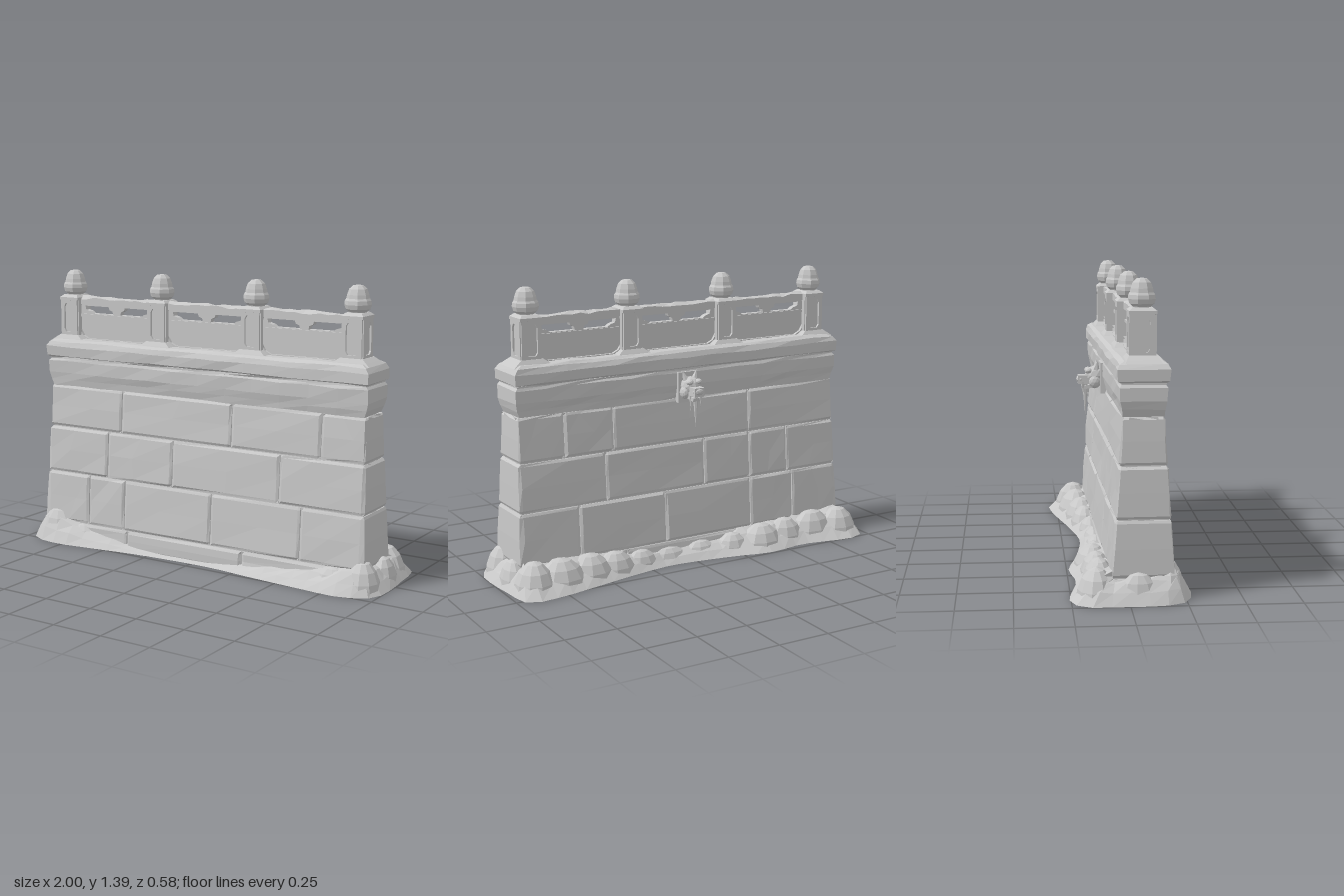
import * as THREE from 'three';

// Double-sided because the wall and drift are hollow underneath
const stone = new THREE.MeshStandardMaterial({ color: 0xc8c8c8, side: THREE.DoubleSide });
stone.name = 'pale stone';

// Repeatable noise in -1..1 from a position
const noise = (x, y, z = 0) => {
  const s = Math.sin(x * 127.1 + y * 311.7 + z * 74.7) * 43758.5453;
  return (s - Math.floor(s)) * 2 - 1;
};
const lerp = THREE.MathUtils.lerp, clamp = THREE.MathUtils.clamp;

function add(parent, name, geo, x = 0, y = 0, z = 0) {
  const flat = geo.index ? geo.toNonIndexed() : geo;
  flat.computeVertexNormals();
  const mesh = new THREE.Mesh(flat, stone);
  mesh.name = name;
  mesh.position.set(x, y, z);
  parent.add(mesh);
  return mesh;
}

function reshape(geo, rule) {
  const p = geo.attributes.position, v = new THREE.Vector3();
  for (let i = 0; i < p.count; i++) {
    rule(v.fromBufferAttribute(p, i));
    p.setXYZ(i, v.x, v.y, v.z);
  }
  return geo;
}

// Joins closed rings (clockwise from above), bottom or outside first
function stitch(rings, capped) {
  const n = rings[0].length, pos = rings.flat().flatMap(p => [p.x, p.y, p.z]), idx = [];
  for (let r = 0; r < rings.length - 1; r++) {
    for (let i = 0; i < n; i++) {
      const a = r * n + i, b = r * n + (i + 1) % n;
      idx.push(a, a + n, b, b, a + n, b + n);
    }
  }
  if (capped) {
    const top = (rings.length - 1) * n;
    for (let i = 0, j = n - 1; j - i > 1; i++, j--) {
      idx.push(top + i, top + j, top + i + 1);
      if (j - i > 2) idx.push(top + i + 1, top + j, top + j - 1);
    }
  }
  const g = new THREE.BufferGeometry();
  g.setAttribute('position', new THREE.Float32BufferAttribute(pos, 3));
  g.setIndex(idx);
  return g;
}

// Rectangular moulding from [y, half width, half depth] levels
function moulding(levels, seg = 1, rough = 0) {
  return stitch(levels.map(([y, hx, hz]) => {
    const ring = [];
    for (const s of [1, -1]) {
      for (let i = 0; i <= seg; i++) {
        const x = s * lerp(-hx, hx, i / seg), z = -s * hz;
        ring.push(new THREE.Vector3(x, y + noise(x, y, z) * rough, z + noise(z, x, y) * rough));
      }
    }
    return ring;
  }), true);
}

// Battered wall outline
const halfX = y => lerp(0.922, 0.887, y / 0.8);
const halfZ = y => lerp(0.145, 0.092, y / 0.8);

// One chamfered wall stone; side is +1 for the front, -1 for the back
function wallBlock(parent, x0, x1, y0, y1, side, first, last) {
  const gap = 0.003, bevel = 0.012;
  const steps = (a, b) => [a, a + bevel, (a + b) / 2, b - bevel, b];
  const xs = steps(x0 + (first ? 0 : gap), x1 - (last ? 0 : gap)), ys = steps(y0 + gap, y1 - gap);
  const geo = reshape(new THREE.BoxGeometry(4, 4, 1, 4, 4, 1), v => {
    const i = Math.round(v.x + 2), j = Math.round(v.y + 2), outer = v.z * side > 0;
    const endX = i === 0 || i === 4, endY = j === 0 || j === 4;
    const y = ys[j], isEnd = (first && i === 0) || (last && i === 4);
    let x = xs[i];
    if (isEnd) x = Math.sign(x) * (halfX(y) - (endY ? 0.008 : 0) + noise(y, 1) * 0.003);
    else if (i === 2) x += noise(x, y, side) * 0.05;
    const d = halfZ(y) - (endX || endY ? 0.006 : 0) + noise(x, y, side) * 0.003;
    v.set(x, y, side * (outer ? d : isEnd ? 0 : halfZ(y) - 0.03));
  });
  add(parent, 'wallBlock', geo);
}

function buildWall(wall) {
  add(wall, 'wallCore', moulding([[0, 0.91, 0.132], [0.82, 0.872, 0.08]]));
  // [bottom, top, front joints, back joints]
  const courses = [
    [0, 0.1, [-0.4, 0.27], [-0.3, 0.35]],
    [0.1, 0.355, [-0.64, -0.42, 0.09, 0.58], [-0.63, -0.37, 0.13, 0.6]],
    [0.355, 0.59, [-0.53, -0.14, 0.46], [-0.6, -0.37, -0.1, 0.45]],
    [0.59, 0.805, [-0.45, 0.19, 0.67], [-0.37, 0.4, 0.66]],
  ];
  for (const [y0, y1, front, back] of courses) {
    for (const [side, joints] of [[1, front], [-1, back]]) {
      const xs = [-0.9, ...joints, 0.9];
      for (let i = 0; i < xs.length - 1; i++)
        wallBlock(wall, xs[i], xs[i + 1], y0, y1, side, i === 0, i === xs.length - 2);
    }
  }
  add(wall, 'cornice', moulding([[0.803, 0.88, 0.088], [0.835, 0.893, 0.094], [0.87, 0.902, 0.101],
    [0.93, 0.902, 0.103], [0.943, 0.892, 0.098], [0.953, 0.892, 0.098]], 12, 0.003));
  add(wall, 'capstone', moulding([[0.948, 0.89, 0.095], [0.958, 0.905, 0.111], [1.005, 0.907, 0.113],
    [1.03, 0.89, 0.103], [1.042, 0.865, 0.085]], 14, 0.003));
}

function polygon(points, Type = THREE.Shape) {
  return new Type(points.map(([x, y]) => new THREE.Vector2(x, y)));
}

// Post with framed panels on four sides, flared foot and bud finial
function buildPost(parent, x) {
  const post = new THREE.Group();
  post.name = 'post';
  post.position.x = x;
  parent.add(post);
  add(post, 'postFoot', moulding([[1.03, 0.1, 0.082], [1.045, 0.08, 0.072], [1.062, 0.056, 0.06]]));
  add(post, 'postCore', moulding([[1.03, 0.046, 0.048], [1.24, 0.046, 0.048]]));
  add(post, 'postTop', moulding([[1.235, 0.046, 0.048], [1.238, 0.055, 0.06], [1.252, 0.055, 0.06], [1.265, 0.04, 0.044]]));
  const frame = polygon([[-0.05, 1.05], [0.05, 1.05], [0.05, 1.24], [-0.05, 1.24]]);
  frame.holes.push(polygon([[-0.02, 1.075], [-0.03, 1.09], [-0.03, 1.205], [-0.02, 1.222],
    [0.02, 1.222], [0.03, 1.205], [0.03, 1.09], [0.02, 1.075]], THREE.Path));
  for (let k = 0; k < 4; k++) {
    const geo = new THREE.ExtrudeGeometry(frame, { depth: 0.012, bevelEnabled: false });
    geo.translate(0, 0, k % 2 ? 0.043 : 0.047).rotateY(k * Math.PI / 2);
    add(post, 'postPanelFrame', geo);
  }
  const profile = [[0.038, 1.25], [0.042, 1.268], [0.056, 1.28], [0.062, 1.3], [0.06, 1.318],
    [0.053, 1.328], [0.05, 1.345], [0.041, 1.37], [0.024, 1.386], [0, 1.39]];
  const bud = new THREE.LatheGeometry(profile.map(p => new THREE.Vector2(...p)), 8);
  add(post, 'finial', bud.rotateY(Math.PI / 8));
}

// Pierced panel and rails between two posts
function buildBay(parent, x) {
  const bay = new THREE.Group();
  bay.name = 'balustradeBay';
  bay.position.x = x;
  parent.add(bay);
  const w = 0.22;
  const panel = polygon([[-w, 1.02], [w, 1.02], [w, 1.225], [-w, 1.225]]);
  for (const s of [1, -1])
    panel.holes.push(polygon([[0.022, 1.172], [0.15, 1.172], [0.165, 1.183], [0.19, 1.19], [0.195, 1.21],
      [0.05, 1.21], [0.045, 1.196], [0.026, 1.188]].map(([a, b]) => [a * s, b]), THREE.Path));
  add(bay, 'piercedPanel', new THREE.ExtrudeGeometry(panel, { depth: 0.03, bevelEnabled: false }), 0, 0, -0.015);
  add(bay, 'middleRail', new THREE.BoxGeometry(2 * w, 0.014, 0.046), 0, 1.162, 0);
  const rail = reshape(new THREE.BoxGeometry(2 * w, 0.036, 0.06, 10, 2, 2), v => {
    if (v.y > 0.01) v.y += noise(v.x + x, 1, v.z) * 0.006 - Math.abs(v.z) * 0.3 + 0.004;
  });
  add(bay, 'topRail', rail, 0, 1.236, 0);
  // Lower border with slanted corners
  const border = polygon([[-w, 1.02], [w, 1.02], [w, 1.09], [0.2, 1.06], [0.17, 1.045],
    [-0.17, 1.045], [-0.2, 1.06], [-w, 1.09]]);
  add(bay, 'lowerBorder', new THREE.ExtrudeGeometry(border, { depth: 0.06, bevelEnabled: false }), 0, 0, -0.03);
}

// Beast-head water spout with icicles on the back
function buildSpout(parent) {
  const spout = new THREE.Group();
  spout.name = 'spout';
  spout.position.set(-0.005, 0, -0.1);
  parent.add(spout);
  add(spout, 'spoutPlate', new THREE.BoxGeometry(0.11, 0.15, 0.03), 0, 0.86, 0);
  const ball = (name, r, sx, sy, sz, x, y, z) =>
    add(spout, name, new THREE.IcosahedronGeometry(r, 1).scale(sx, sy, sz), x, y, z);
  ball('spoutHead', 0.048, 1, 1, 1.1, 0, 0.868, -0.035);
  add(spout, 'spoutSnout', new THREE.BoxGeometry(0.056, 0.042, 0.085), 0, 0.85, -0.078);
  ball('spoutNose', 0.026, 1.2, 0.8, 0.8, 0, 0.852, -0.108);
  add(spout, 'spoutJaw', new THREE.BoxGeometry(0.044, 0.018, 0.065), 0, 0.815, -0.065).rotation.x = -0.15;
  for (const s of [1, -1]) {
    const ear = add(spout, 'spoutEar', new THREE.ConeGeometry(0.02, 0.06, 5), s * 0.03, 0.918, -0.03);
    ear.rotation.set(0.15, 0, -s * 0.35);
    ball('spoutBrow', 0.018, 1, 0.8, 1, s * 0.024, 0.893, -0.07);
    ball('spoutCheek', 0.027, 0.8, 1.2, 1.1, s * 0.036, 0.84, -0.04);
  }
  for (const [x, z, len, r] of [[0, -0.085, 0.165, 0.015], [0.018, -0.07, 0.09, 0.01], [-0.02, -0.098, 0.06, 0.01]])
    add(spout, 'icicle', new THREE.ConeGeometry(r, len, 6).rotateX(Math.PI), x, 0.835 - len / 2, z);
}

// Drifted skirt around the foot: an open shell plus broad overlapping mounds
function buildDrift(group) {
  const drift = new THREE.Group();
  drift.name = 'drift';
  group.add(drift);
  // Outline [x, z, height against the wall]
  const outline = [[-1, -0.08, 0.11], [-0.99, -0.2, 0.12], [-0.9, -0.255, 0.13], [-0.6, -0.215, 0.12],
    [-0.4, -0.24, 0.11], [-0.2, -0.2, 0.08], [0, -0.17, 0.07], [0.15, -0.16, 0.06], [0.4, -0.2, 0.09],
    [0.6, -0.245, 0.11], [0.8, -0.285, 0.12], [0.95, -0.28, 0.13], [0.985, -0.1, 0.11], [1, 0.1, 0.1],
    [0.98, 0.2, 0.12], [0.85, 0.265, 0.12], [0.65, 0.26, 0.08], [0.35, 0.235, 0.045], [0.1, 0.21, 0.02],
    [-0.3, 0.225, 0.025], [-0.6, 0.265, 0.08], [-0.8, 0.285, 0.13], [-0.95, 0.245, 0.13], [-1, 0.12, 0.11]];
  const curve = new THREE.CatmullRomCurve3(outline.map(([x, z, h]) => new THREE.Vector3(x, h, z)), true);
  const pts = curve.getSpacedPoints(60).slice(0, 60);
  const rings = [0, 0.3, 0.62, 1].map((t, k) => pts.map(p => {
    const cz = 0.047 - 0.018 * p.x;
    const x = lerp(p.x, clamp(p.x, -0.89, 0.89), t), z = lerp(p.z, clamp(p.z, cz - 0.12, cz + 0.12), t);
    const bump = k ? 1 + 0.12 * noise(p.x, k, p.z) : 1;
    return new THREE.Vector3(clamp(x, -1, 1), p.y * Math.sin(t * Math.PI / 2) * bump, z);
  }));
  add(drift, 'driftSkirt', stitch(rings, false));
  // Mounds [x, z, half length, half width, height]
  const mounds = [[-0.87, -0.14, 0.11, 0.09, 0.145], [-0.72, -0.12, 0.13, 0.085, 0.145], [-0.55, -0.12, 0.11, 0.08, 0.13],
    [-0.4, -0.13, 0.12, 0.09, 0.125], [-0.24, -0.11, 0.1, 0.07, 0.095], [-0.06, -0.09, 0.11, 0.06, 0.08],
    [0.12, -0.09, 0.12, 0.055, 0.075], [0.28, -0.1, 0.1, 0.06, 0.09], [0.43, -0.12, 0.11, 0.075, 0.115],
    [0.57, -0.13, 0.12, 0.09, 0.13], [0.73, -0.15, 0.13, 0.1, 0.14], [0.87, -0.16, 0.1, 0.1, 0.15],
    [0.92, -0.03, 0.065, 0.09, 0.13], [0.9, 0.14, 0.085, 0.09, 0.15], [-0.84, 0.18, 0.12, 0.075, 0.165],
    [-0.92, 0.04, 0.06, 0.1, 0.13], [-0.68, 0.18, 0.1, 0.06, 0.1], [0.76, 0.17, 0.11, 0.06, 0.105]];
  for (const [x, z, a, b, h] of mounds) {
    const geo = new THREE.SphereGeometry(1, 10, 4, x * 9, Math.PI * 2, 0, Math.PI / 2);
    reshape(geo, v => v.set(v.x * a, Math.pow(Math.max(v.y, 0), 1.15) * h, v.z * b));
    add(drift, 'driftMound', geo, x, 0, z);
  }
}

export function createModel() {
  const model = new THREE.Group();
  model.name = 'parapetWall';
  // The wall stands at a slight angle within its drift
  const wall = new THREE.Group();
  wall.name = 'wall';
  wall.position.z = 0.047;
  wall.rotation.y = 0.018;
  model.add(wall);
  buildWall(wall);
  for (const x of [-0.8, -0.267, 0.267, 0.795]) buildPost(wall, x);
  for (const x of [-0.533, 0, 0.531]) buildBay(wall, x);
  buildSpout(wall);
  buildDrift(model);
  return model;
}
